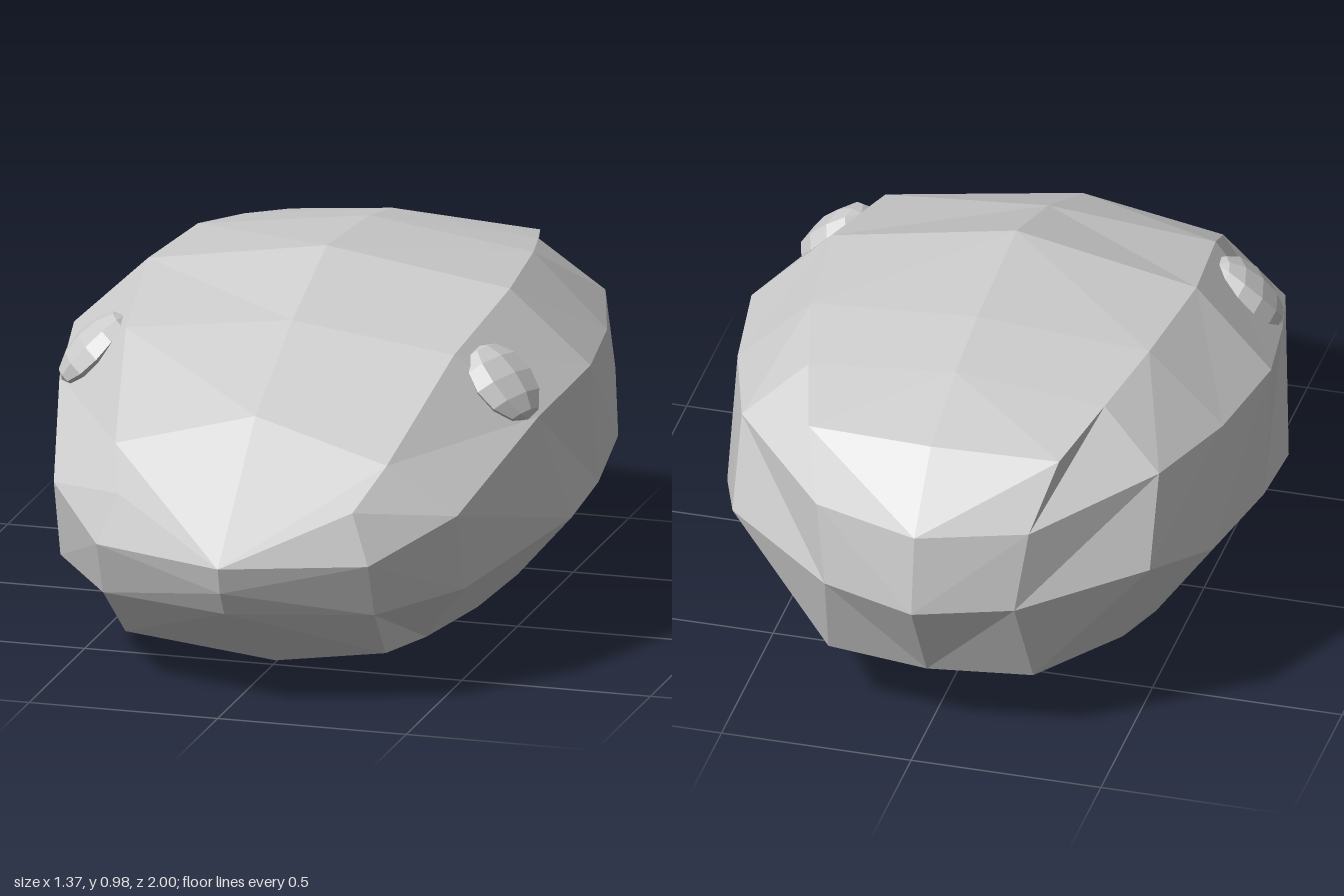
import * as THREE from 'three';

// Half cross-sections from nose to tail. Each runs down the +x side:
// top centre, upper edge, upper side, lower side, lower edge, bottom centre.
const noseTip = [0, 0.40, 1], chin = [0, 0.10, 0.64];
const tailTop = [0, 0.83, -0.81], tailBottom = [0, 0.19, -0.85];
const sections = [
  [noseTip, noseTip, [0, 0.33, 0.98], [0, 0.265, 0.94], chin, chin],
  [noseTip, [0.31, 0.53, 0.84], [0.36, 0.40, 0.87], [0.36, 0.255, 0.81], [0.345, 0.11, 0.66], chin],
  [[0, 0.71, 0.66], [0.36, 0.62, 0.70], [0.535, 0.49, 0.66], [0.535, 0.28, 0.60], [0.37, 0.075, 0.38], [0, 0.01, 0.48]],
  [[0, 0.87, 0.33], [0.435, 0.82, 0.35], [0.635, 0.65, 0.27], [0.685, 0.35, 0.14], [0.43, 0.085, 0.12], [0, 0.02, 0.23]],
  [[0, 0.98, 0.02], [0.48, 0.90, 0], [0.685, 0.705, -0.03], [0.685, 0.375, -0.10], [0.46, 0.10, -0.14], [0, 0.005, -0.16]],
  [[0, 0.95, -0.36], [0.445, 0.90, -0.33], [0.64, 0.71, -0.33], [0.64, 0.40, -0.43], [0.46, 0.12, -0.32], [0, 0.02, -0.33]],
  [[0, 0.91, -0.57], [0.39, 0.865, -0.56], [0.55, 0.725, -0.62], [0.55, 0.49, -0.71], [0.42, 0.14, -0.49], [0, 0.035, -0.50]],
  [tailTop, [0.33, 0.82, -0.78], [0.28, 0.66, -0.89], [0.25, 0.445, -0.92], [0.27, 0.19, -0.81], tailBottom],
  [tailTop, tailTop, [0, 0.65, -0.97], [0, 0.44, -1], tailBottom, tailBottom],
];

// Joins neighbouring sections and mirrors every face to the -x side
function bodyGeometry() {
  const positions = [];
  const addTriangle = (a, b, c) => {
    if (a === b || b === c || a === c) return;
    positions.push(...a, ...b, ...c);
    for (const [x, y, z] of [a, c, b]) positions.push(-x, y, z);
  };
  for (let i = 0; i < sections.length - 1; i++) {
    const front = sections[i], back = sections[i + 1];
    for (let j = 0; j < front.length - 1; j++) {
      addTriangle(front[j], front[j + 1], back[j + 1]);
      addTriangle(front[j], back[j + 1], back[j]);
    }
  }
  const geometry = new THREE.BufferGeometry();
  geometry.setAttribute('position', new THREE.Float32BufferAttribute(positions, 3));
  geometry.computeVertexNormals();
  return geometry;
}

export function createModel() {
  const model = new THREE.Group();
  model.name = 'animalHead';
  const material = new THREE.MeshStandardMaterial({ color: 0xcccccc, flatShading: true });

  const head = new THREE.Mesh(bodyGeometry(), material);
  head.name = 'head';
  model.add(head);

  // Flattened eyes lying against the sloping sides
  const eyeGeometry = new THREE.SphereGeometry(1, 8, 6);
  for (const side of [1, -1]) {
    const eye = new THREE.Mesh(eyeGeometry, material);
    eye.name = side > 0 ? 'leftEye' : 'rightEye';
    eye.position.set(side * 0.545, 0.735, 0.275);
    eye.scale.set(0.11, 0.115, 0.05);
    eye.lookAt(side * (0.545 + 0.66), 0.735 + 0.68, 0.275 + 0.25);
    model.add(eye);
  }
  return model;
}
